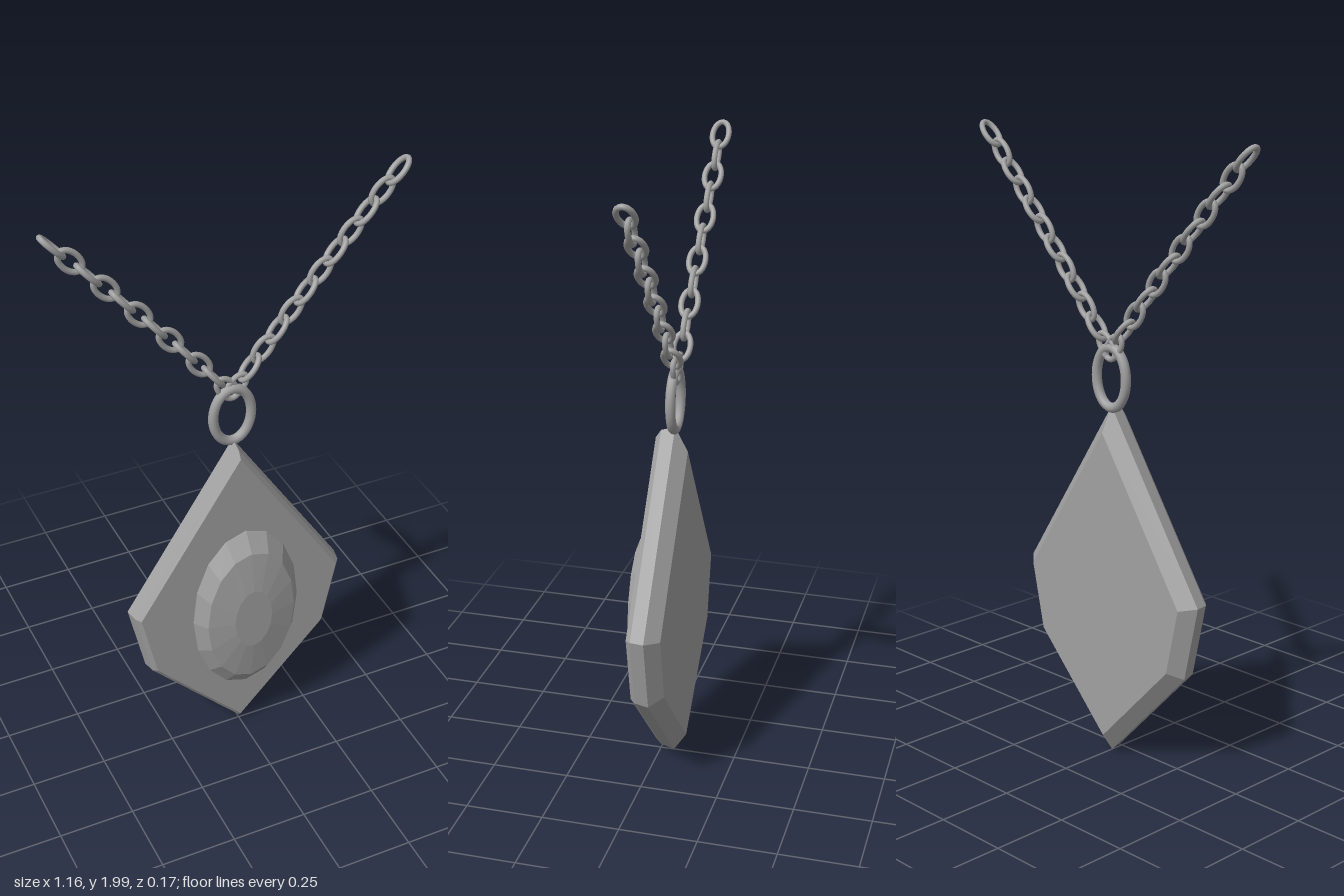
import * as THREE from 'three';

const steel = new THREE.MeshStandardMaterial({ color: 0xa0a0a0 });
steel.name = 'greySteel';
const chainZ = -0.05;

// Faceted solid through rings of [x, y, z], each counter-clockwise from the front, back to front
function loft(rings) {
  const pos = [];
  const tri = (...pts) => pts.forEach((p) => pos.push(...p));
  const centre = (ring) => [0, 1, 2].map((k) => ring.reduce((s, p) => s + p[k], 0) / ring.length);
  const n = rings[0].length;
  const back = rings[0], front = rings[rings.length - 1];
  for (let i = 0; i < n; i++) {
    const k = (i + 1) % n;
    for (let j = 0; j < rings.length - 1; j++) {
      const lo = rings[j], hi = rings[j + 1];
      tri(lo[i], lo[k], hi[k]);
      tri(lo[i], hi[k], hi[i]);
    }
    tri(centre(back), back[k], back[i]);
    tri(centre(front), front[i], front[k]);
  }
  const geo = new THREE.BufferGeometry();
  geo.setAttribute('position', new THREE.Float32BufferAttribute(pos, 3));
  geo.computeVertexNormals();
  return geo;
}

// Kite-shaped outline moved inwards by d
function plateRing(d, z) {
  const sx = 0.373 - 1.06 * d, sy = 0.59 - 0.2 * d;
  const lx = 0.32 - 0.92 * d, ly = 0.345 + 0.48 * d;
  return [
    [0, 1.16 - 1.84 * d, z], [-sx, sy, z], [-lx, ly, z],
    [0, 0.008 + 1.46 * d, z], [lx, ly, z], [sx, sy, z],
  ];
}

function gemRing(rx, ry, z, sides = 16) {
  return Array.from({ length: sides }, (_, i) => {
    const a = (i / sides) * Math.PI * 2;
    return [0.017 + rx * Math.cos(a), 0.515 + ry * Math.sin(a), z];
  });
}

// Round wire bent into an upright oval
function oval(rx, ry, wire, segments) {
  const pts = Array.from({ length: 16 }, (_, i) => {
    const a = (i / 16) * Math.PI * 2;
    return new THREE.Vector3(rx * Math.cos(a), ry * Math.sin(a), 0);
  });
  const path = new THREE.CatmullRomCurve3(pts, true);
  return new THREE.TubeGeometry(path, segments, wire, 10, true);
}

function part(geo, name, parent) {
  const mesh = new THREE.Mesh(geo, steel);
  mesh.name = name;
  parent.add(mesh);
  return mesh;
}

export function createModel() {
  const model = new THREE.Group();
  model.name = 'pendantNecklace';

  // Bevelled plate and oval cut stone
  part(loft([
    plateRing(0.043, -0.086), plateRing(0, -0.045),
    plateRing(0.008, 0), plateRing(0.022, 0.017),
  ]), 'pendantPlate', model);
  part(loft([
    gemRing(0.187, 0.32, 0.012), gemRing(0.187, 0.32, 0.02),
    gemRing(0.155, 0.258, 0.064), gemRing(0.066, 0.115, 0.082),
  ]), 'gem', model);

  // Hanging ring
  part(oval(0.064, 0.095, 0.016, 40), 'hangingRing', model).position.set(0, 1.249, chainZ + 0.004);

  // Two strands of links, every other link turned a quarter about the strand
  const link = oval(0.026, 0.046, 0.009, 24);
  for (const side of [-1, 1]) {
    const strand = new THREE.Group();
    strand.name = side > 0 ? 'leftChain' : 'rightChain';
    for (let i = -1; i <= 10; i++) {
      const t = i / 2;
      const x = 0.06 + 0.09 * t + 0.0012 * t * t;
      const holder = new THREE.Group();
      holder.name = 'linkHolder';
      holder.position.set(side * x, 1.402 + 0.111 * t, chainZ);
      holder.rotation.z = -side * Math.atan2(0.09 + 0.0024 * t, 0.111);
      part(link, 'chainLink', holder).rotation.y = i % 2 === 0 ? Math.PI / 2 : 0;
      strand.add(holder);
    }
    model.add(strand);
  }
  return model;
}
